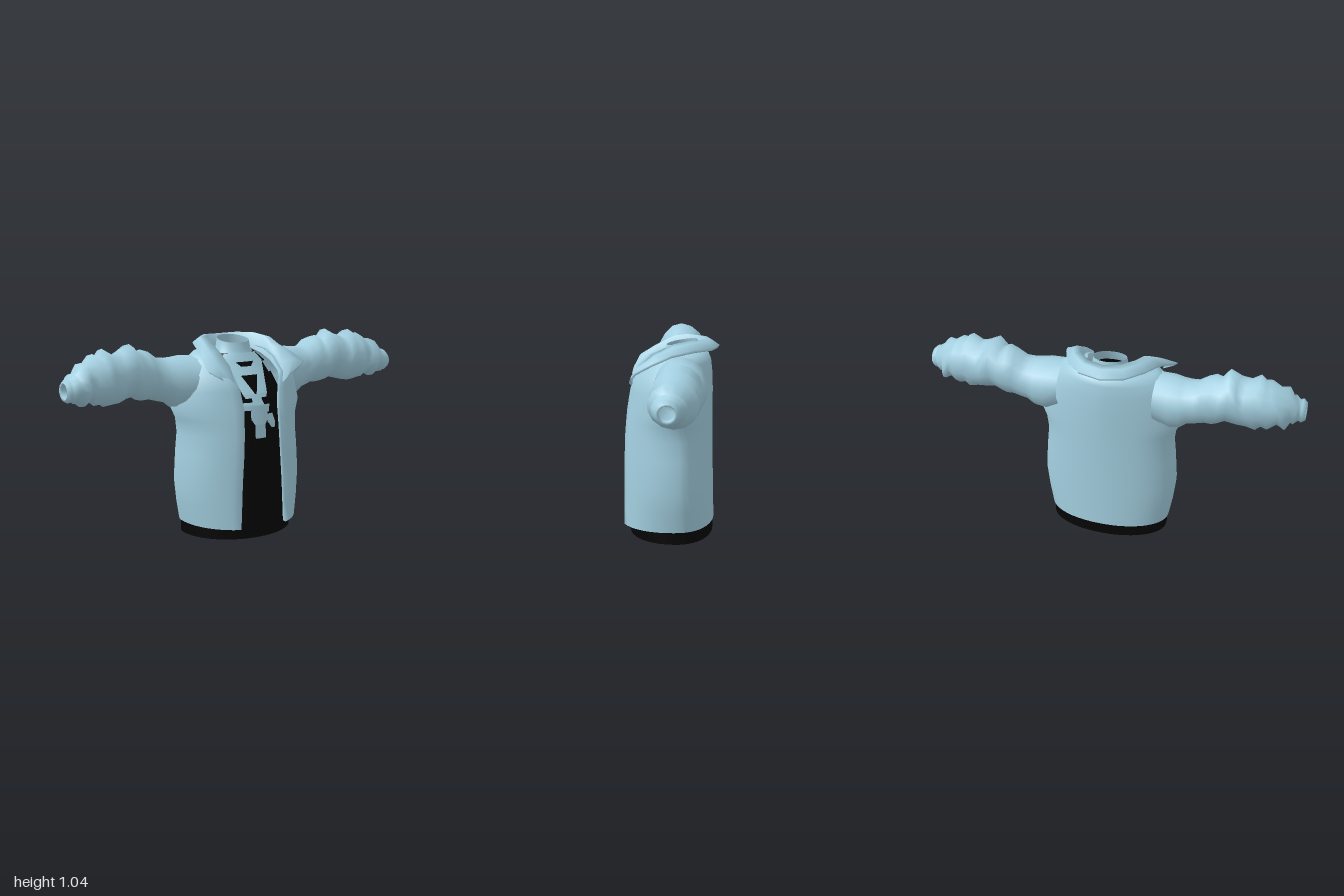
import * as THREE from 'three';

const cloth = new THREE.MeshStandardMaterial({ color: 0xa3cfe0, side: THREE.DoubleSide });
cloth.name = 'paleBlueCloth';
const black = new THREE.MeshStandardMaterial({ color: 0x050505, side: THREE.DoubleSide });
black.name = 'blackCloth';

// Skins a list of rings (arrays of [x, y, z]); skip() leaves out chosen quads
function loft(rings, closed, skip = () => false) {
  const n = rings[0].length, index = [];
  for (let r = 0; r + 1 < rings.length; r++) {
    for (let i = 0; i < (closed ? n : n - 1); i++) {
      const j = (i + 1) % n;
      const p = rings[r][i], q = rings[r + 1][j];
      if (skip((p[0] + q[0]) / 2, (p[1] + q[1]) / 2, (p[2] + q[2]) / 2)) continue;
      const a = r * n + i, b = r * n + j;
      index.push(a, b, a + n, b, b + n, a + n);
    }
  }
  const g = new THREE.BufferGeometry();
  g.setAttribute('position', new THREE.Float32BufferAttribute(rings.flat(2), 3));
  g.setIndex(index);
  g.computeVertexNormals();
  return g;
}

function add(group, name, geometry, material) {
  const m = new THREE.Mesh(geometry, material);
  m.name = name;
  group.add(m);
}

// Point on a rounded body section; angle 0 faces the front
function sectionPoint([y, rx, zf, zb, n], a, zc) {
  const s = Math.sin(a), c = Math.cos(a);
  const x = rx * Math.sign(s) * Math.abs(s) ** (2 / n);
  const d = Math.abs(c) ** (2 / n);
  return [x, y, zc + (c > 0 ? zf - zc : zb - zc) * d];
}

// Undershirt sections: y, half width, front z, back z, roundness
const SHIRT = [
  [0.08, 0.3, 0.222, -0.19, 2], [0.4, 0.3, 0.22, -0.18, 2], [0.6, 0.3, 0.207, -0.18, 2],
  [0.7, 0.28, 0.192, -0.18, 2], [0.76, 0.25, 0.165, -0.18, 2.1], [0.845, 0.21, 0.107, -0.17, 2.2],
  [0.9, 0.18, 0.07, -0.16, 2.1], [0.955, 0.115, 0.04, -0.14, 2],
];
const SHIRT_ZC = -0.04;

function shirtZ(x, y) {
  let i = 0;
  while (i < SHIRT.length - 2 && y > SHIRT[i + 1][0]) i++;
  const t = (y - SHIRT[i][0]) / (SHIRT[i + 1][0] - SHIRT[i][0]);
  const [, rx, zf, , n] = SHIRT[i].map((v, k) => v + (SHIRT[i + 1][k] - v) * t);
  const u = Math.min(1, Math.abs(x) / rx);
  return SHIRT_ZC + (zf - SHIRT_ZC) * (1 - u ** n) ** (1 / n);
}

// Thin painted patch on the shirt front; each row is y, x start, x end
function patch(rows, lift) {
  const grid = [];
  for (let r = 0; r + 1 < rows.length; r++) {
    for (let k = 0; k <= 6; k++) {
      const [y, x0, x1] = rows[r].map((v, c) => v + (rows[r + 1][c] - v) * k / 6);
      grid.push(Array.from({ length: 11 }, (_, i) => {
        const x = x0 + (x1 - x0) * i / 10;
        return [x, y, shirtZ(x, y) + lift];
      }));
    }
  }
  return loft(grid, false);
}

function buildShirt(group) {
  const ring = (s) => Array.from({ length: 48 }, (_, i) => sectionPoint(s, i / 48 * Math.PI * 2, SHIRT_ZC));
  add(group, 'undershirt', loft(SHIRT.map(ring), true, (x, y, z) => y > 0.76 && y < 0.9 && z < 0.05), black);

  // Hem band with closed, slightly tilted bottom
  const hem = (y) => ring([y, 0.315, 0.225, -0.217, 2.05]).map(([x, v, z]) => [x, v + 0.007 - z * 0.03, z]);
  add(group, 'hem', loft([hem(0), hem(0.085)], true), black);
  add(group, 'hemBottom', loft([hem(0).map(() => [0, 0.007, 0]), hem(0)], true), black);

  // Standing neckband
  const neck = [[0.945, 0.118, 0.05, -0.145, 2], [0.965, 0.095, 0.04, -0.14, 2], [1.02, 0.086, 0.03, -0.13, 2]]
    .map((s) => ring(s).map(([x, y, z]) => [x, y - (z + 0.05) * (y > 1 ? 0.18 : 0), z]));
  add(group, 'neckband', loft(neck, true), cloth);

  // Chest pattern
  const whole = [
    [[0.953, -0.095, 0.095], [0.91, -0.125, 0.125]],
    [[0.887, -0.115, 0.115], [0.845, -0.1, 0.1]],
    [[0.755, -0.075, 0.075], [0.735, -0.065, 0.065]],
    [[0.735, -0.03, 0.03], [0.7, -0.03, 0.03]],
    [[0.715, -0.11, -0.03], [0.675, -0.11, -0.03]],
    [[0.7, -0.04, 0.075], [0.66, -0.04, 0.065]],
    [[0.65, 0.05, 0.09], [0.61, 0.05, 0.105], [0.575, 0.08, 0.105]],
  ];
  whole.forEach((rows) => add(group, 'chestPattern', patch(rows, 0.006), cloth));
  for (const s of [1, -1]) {
    add(group, 'chestStrap', patch([[0.91, s * 0.055, s * 0.125], [0.887, s * 0.03, s * 0.115]], 0.006), cloth);
    add(group, 'chestStrap', patch([[0.845, s * 0.05, s * 0.1], [0.755, s * 0.005, s * 0.075]], 0.006), cloth);
  }
  add(group, 'pendant', patch([[0.72, -0.03, 0.03], [0.69, -0.035, 0.035], [0.67, -0.052, 0.052],
    [0.63, -0.052, 0.052], [0.6, -0.032, 0.032], [0.53, -0.032, 0.032]], 0.012), cloth);
}

function buildJacket(group) {
  // y, half width, front z, back z, roundness, opening half width
  const rows = [
    [0.073, 0.325, 0.28, -0.222, 2.1, 0.14], [0.18, 0.345, 0.275, -0.22, 2.05, 0.135],
    [0.3, 0.36, 0.271, -0.217, 2, 0.13], [0.45, 0.35, 0.267, -0.215, 2, 0.12],
    [0.55, 0.34, 0.263, -0.213, 2, 0.115], [0.63, 0.352, 0.257, -0.213, 1.9, 0.112],
    [0.69, 0.383, 0.252, -0.213, 1.75, 0.11], [0.78, 0.362, 0.242, -0.213, 1.75, 0.122],
    [0.865, 0.335, 0.24, -0.21, 1.75, 0.148], [0.93, 0.285, 0.165, -0.203, 1.8, 0.15],
    [0.965, 0.24, 0.078, -0.19, 1.8, 0.145], [0.975, 0.15, 0.01, -0.15, 2, 0.13],
  ];
  const rings = rows.map((s) => {
    const a0 = Math.asin((s[5] / s[1]) ** (s[4] / 2));
    const pts = Array.from({ length: 41 }, (_, i) =>
      sectionPoint(s, a0 + (Math.PI * 2 - 2 * a0) * i / 40, -0.035));
    // Turned-in front edges
    const turn = ([x, y, z]) => [x, y, z - 0.025];
    return [turn(pts[0]), ...pts, turn(pts[40])]
      .map(([x, y, z]) => [x, y < 0.1 ? y - z * 0.03 : y, z]);
  });
  // Armholes stay open inside the sleeves
  const armhole = (x, y) => y > 0.79 && y < 0.86 && Math.abs(x) > 0.3;
  add(group, 'jacketBody', loft(rings, false, armhole), cloth);

  // Folded collar: inner base, crest and outer edge from back to front tip
  const half = [
    [[0, 0.96, -0.15], [0, 1.035, -0.165], [0, 1.003, -0.247]],
    [[0.08, 0.96, -0.13], [0.085, 1.04, -0.145], [0.12, 1.005, -0.213]],
    [[0.125, 0.96, -0.07], [0.145, 1.04, -0.08], [0.205, 1.005, -0.12]],
    [[0.145, 0.94, 0], [0.17, 1.03, -0.01], [0.25, 0.985, 0]],
    [[0.15, 0.91, 0.08], [0.165, 0.98, 0.08], [0.28, 0.945, 0.1]],
    [[0.145, 0.865, 0.16], [0.158, 0.91, 0.175], [0.302, 0.903, 0.184]],
    [[0.138, 0.8, 0.2], [0.155, 0.825, 0.222], [0.225, 0.864, 0.205]],
  ];
  const mirror = half.slice(1).reverse().map((r) => r.map(([x, y, z]) => [-x, y, z]));
  // Middle points round the fold
  const collar = [...mirror, ...half].map(([b, c, o]) => {
    const mid = c.map((v, i) => (v + o[i]) / 2 + (i === 1 ? 0.012 : 0));
    const under = o.map((v, i) => v + (b[i] - v) * 0.12 - (i === 1 ? 0.012 : 0));
    return [b, c, mid, o, under];
  });
  add(group, 'collar', loft(collar, false), cloth);
}

function buildSleeve(group, side) {
  // x, top y, bottom y, back z, front z
  const rows = [
    [0.25, 0.95, 0.71, -0.18, 0.1], [0.33, 0.957, 0.68, -0.183, 0.085], [0.385, 0.95, 0.69, -0.178, 0.07],
    [0.42, 0.948, 0.718, -0.173, 0.06], [0.46, 0.953, 0.728, -0.172, 0.052],
    [0.5, 0.985, 0.74, -0.172, 0.052], [0.54, 1.0, 0.738, -0.175, 0.058], [0.58, 0.988, 0.748, -0.172, 0.06],
    [0.62, 1.033, 0.765, -0.175, 0.075], [0.67, 1.005, 0.755, -0.17, 0.068], [0.71, 0.988, 0.742, -0.155, 0.085],
    [0.76, 1.022, 0.732, -0.162, 0.082], [0.795, 0.985, 0.748, -0.145, 0.095], [0.83, 1.0, 0.742, -0.15, 0.075],
    [0.865, 0.965, 0.772, -0.125, 0.07], [0.9, 0.962, 0.748, -0.14, 0.1], [0.93, 0.918, 0.785, -0.085, 0.07],
    [0.95, 0.918, 0.77, -0.085, 0.082], [0.965, 0.892, 0.785, -0.05, 0.065], [0.98, 0.9, 0.778, -0.055, 0.07],
    [1.0, 0.882, 0.79, -0.038, 0.056], [0.995, 0.872, 0.8, -0.028, 0.046], [0.95, 0.872, 0.8, -0.028, 0.046],
  ];
  const rings = rows.map(([x, top, bot, zb, zf], r) => Array.from({ length: 14 }, (_, i) => {
    const a = i / 14 * Math.PI * 2;
    // Creases wander along the arm, fading at the cuff and shoulder
    const sway = r > 4 && r < 18 ? 0.009 * Math.sin(2 * a + r * 1.3) : 0;
    return [side * (x + sway), (top + bot) / 2 + (top - bot) / 2 * Math.cos(a),
      (zf + zb) / 2 + (zf - zb) / 2 * Math.sin(a)];
  }));
  add(group, side > 0 ? 'leftSleeve' : 'rightSleeve', loft(rings, true), cloth);
}

export function createModel() {
  const model = new THREE.Group();
  model.name = 'jacketWithUndershirt';
  buildShirt(model);
  buildJacket(model);
  for (const side of [1, -1]) buildSleeve(model, side);
  return model;
}
